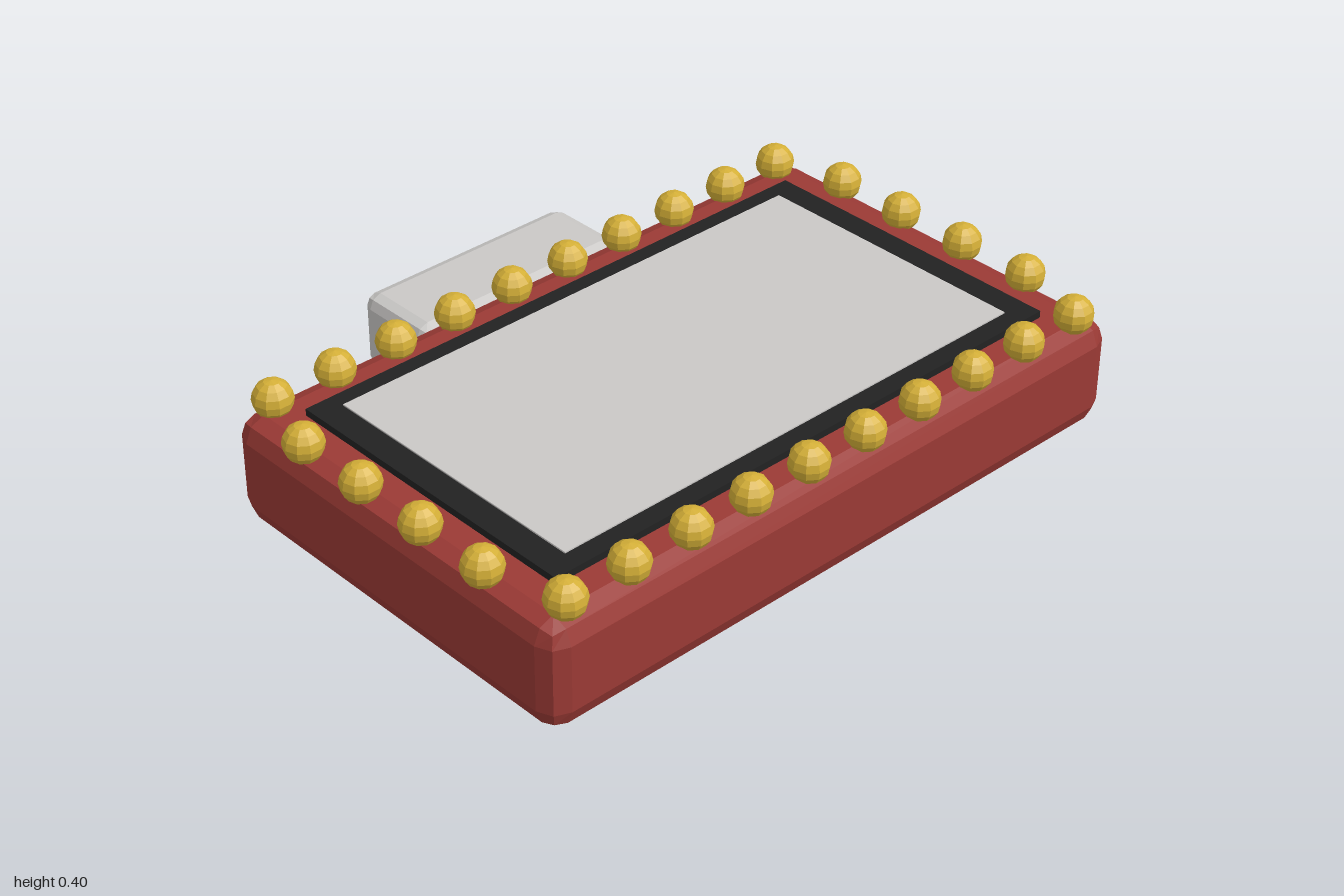
import * as THREE from 'three';
import { RoundedBoxGeometry } from 'three/addons/geometries/RoundedBoxGeometry.js';

const mat = (name, color) => {
  const m = new THREE.MeshStandardMaterial({ color });
  m.name = name;
  return m;
};

export function createModel() {
  const red = mat('red', 0x9b3a35);
  const black = mat('black', 0x222222);
  const grey = mat('light grey', 0xcac8c6);
  const gold = mat('gold', 0xd4af37);

  const model = new THREE.Group();
  model.name = 'bulbFramedSign';

  const add = (name, geometry, material, x, y, z) => {
    const mesh = new THREE.Mesh(geometry, material);
    mesh.name = name;
    mesh.position.set(x, y, z);
    model.add(mesh);
  };

  // Bevelled box with flat facets
  const bevelBox = (w, h, d, r) => {
    const g = new RoundedBoxGeometry(w, h, d, 1, r);
    g.computeVertexNormals();
    return g;
  };

  // Casing and the block on its back edge
  add('casing', bevelBox(1.955, 0.31, 1.21, 0.06), red, 0, 0.155, 0.137);
  add('backBlock', bevelBox(0.7, 0.235, 0.272, 0.037), grey, 0, 0.157, -0.609);

  // Dark border with the pale panel laid on it
  add('panelBorder', new THREE.BoxGeometry(1.685, 0.04, 0.94), black, 0, 0.31, 0.135);
  add('panel', new THREE.BoxGeometry(1.53, 0.006, 0.832), grey, 0, 0.331, 0.133);

  // Bulbs around the rim
  const bulb = new THREE.SphereGeometry(0.055, 10, 8).toNonIndexed();
  bulb.computeVertexNormals();
  for (const z of [-0.416, 0.684]) {
    for (let i = 0; i < 10; i++) add('bulb', bulb, gold, -0.882 + i * 0.196, 0.34, z);
  }
  for (const x of [-0.943, 0.943]) {
    for (let i = 0; i < 4; i++) add('bulb', bulb, gold, x, 0.34, -0.21 + i * 0.225);
  }

  return model;
}
